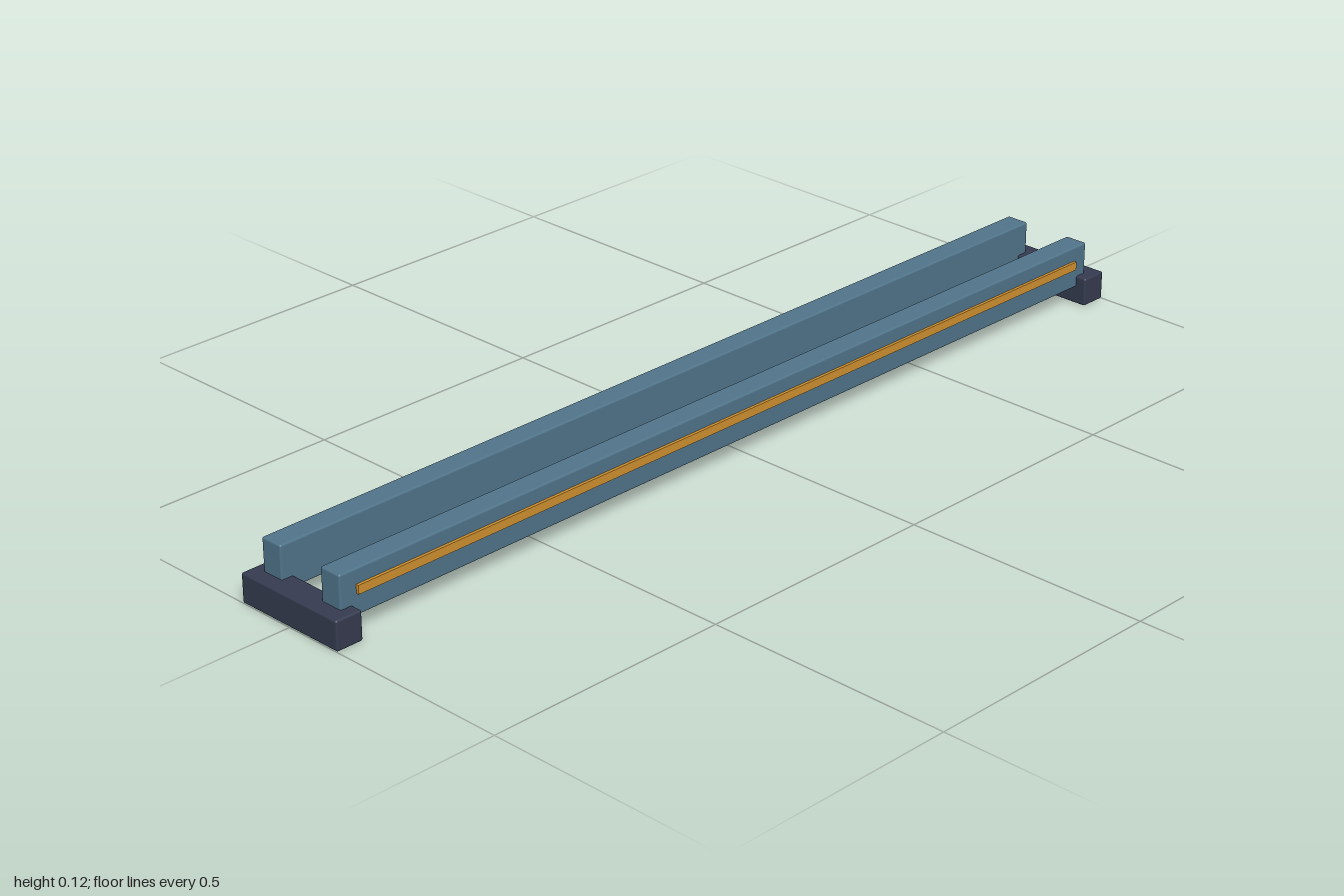
import * as THREE from 'three';
import { RoundedBoxGeometry } from 'three/addons/geometries/RoundedBoxGeometry.js';

const material = (name, color) => {
  const m = new THREE.MeshStandardMaterial({ color });
  m.name = name;
  return m;
};

export function createModel() {
  const group = new THREE.Group();
  group.name = 'twinBeamBarrier';
  const beamBlue = material('steel blue', 0x50748a);
  const footDark = material('dark navy', 0x353b50);
  const stripAmber = material('amber', 0xd0902e);

  const addBox = (name, mat, size, position, radius) => {
    const geometry = radius
      ? new RoundedBoxGeometry(...size, 2, radius)
      : new THREE.BoxGeometry(...size);
    const mesh = new THREE.Mesh(geometry, mat);
    mesh.name = name;
    mesh.position.set(...position);
    group.add(mesh);
  };

  // Cross feet at both ends
  for (const [side, s] of [['left', 1], ['right', -1]]) {
    addBox(`${side}Foot`, footDark, [0.056, 0.058, 0.244], [s * 0.972, 0.029, 0], 0.004);
  }

  // Two long parallel beams let into the feet
  for (const [side, s] of [['front', 1], ['back', -1]]) {
    addBox(`${side}Beam`, beamBlue, [1.94, 0.088, 0.048], [0, 0.079, s * 0.075], 0.004);
  }

  // Raised strip along the front face
  addBox('frontStrip', stripAmber, [1.87, 0.017, 0.007], [0, 0.085, 0.1015]);

  return group;
}
